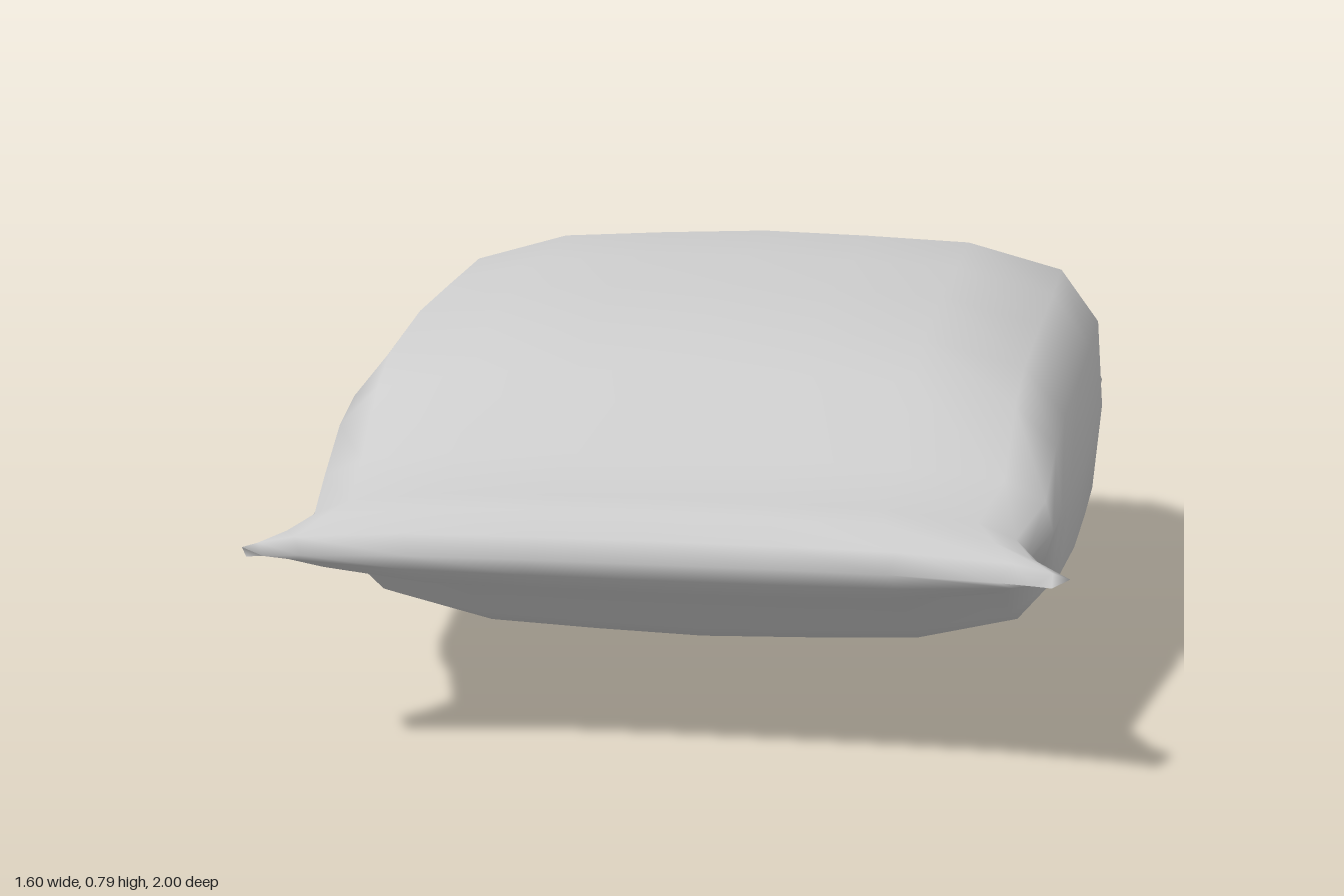
import * as THREE from 'three';
import { mergeVertices } from 'three/addons/utils/BufferGeometryUtils.js';

const MID_Y = 0.4;

// Quarter outlines as [x, y] fractions: full and boxy, or pinched to a thin seam
const FULL = [[1, 0], [0.98, 0.5], [0.87, 0.8], [0.6, 0.95], [0.3, 0.98], [0, 1]];
const PINCHED = [[1, 0], [0.96, 0.25], [0.87, 0.6], [0.6, 0.92], [0.3, 0.98], [0, 1]];

// Sections from back to front: z, half width, half height, pinch, z shift at the corners
const SECTIONS = [
  [-1.0, 0.785, 0, 1, 0.01],
  [-0.955, 0.8, 0.205, 0.8, 0],
  [-0.82, 0.785, 0.342, 0.25, 0],
  [-0.61, 0.795, 0.395, 0, 0],
  [-0.3, 0.775, 0.376, 0, 0],
  [0.03, 0.75, 0.357, 0, 0],
  [0.33, 0.72, 0.313, 0, 0],
  [0.47, 0.705, 0.252, 0, 0],
  [0.62, 0.69, 0.118, 0.1, 0],
  [0.82, 0.645, 0.086, 0.4, 0],
  [0.88, 0.68, 0.073, 0.9, 0.01],
  [0.925, 0.72, 0.035, 1, 0.015],
  [0.95, 0.69, 0, 1, 0.05],
];

// Full ring around one section, counter-clockwise seen from the front
function ring([z, w, h, pinch, shift]) {
  const quarter = FULL.map(([x, y], i) => [
    THREE.MathUtils.lerp(x, PINCHED[i][0], pinch),
    THREE.MathUtils.lerp(y, PINCHED[i][1], pinch),
  ]);
  const top = [...quarter, ...quarter.slice(0, -1).reverse().map(([x, y]) => [-x, y])];
  const bottom = top.slice(1, -1).map(([x, y]) => [-x, -y]);
  return [...top, ...bottom].map(([x, y]) => [x * w, MID_Y + y * h, z + shift * x ** 4]);
}

// Skin the sections; both ends close to a flat seam
function skin(sections) {
  const rings = sections.map(ring);
  const n = rings[0].length;
  const index = [];
  for (let i = 0; i < rings.length - 1; i++) {
    for (let j = 0; j < n; j++) {
      const a = i * n + j, b = i * n + (j + 1) % n;
      index.push(a, b, a + n, b, b + n, a + n);
    }
  }
  const geometry = new THREE.BufferGeometry();
  geometry.setAttribute('position', new THREE.Float32BufferAttribute(rings.flat(2), 3));
  geometry.setIndex(index);
  const merged = mergeVertices(geometry, 1e-4);
  merged.computeVertexNormals();
  return merged;
}

export function createModel() {
  const group = new THREE.Group();
  group.name = 'filledBag';
  const material = new THREE.MeshStandardMaterial({ color: 0xcccccc });
  // Puffed bag with a flattened neck and flared seam corners
  const bag = new THREE.Mesh(skin(SECTIONS), material);
  bag.name = 'bag';
  group.add(bag);
  return group;
}
